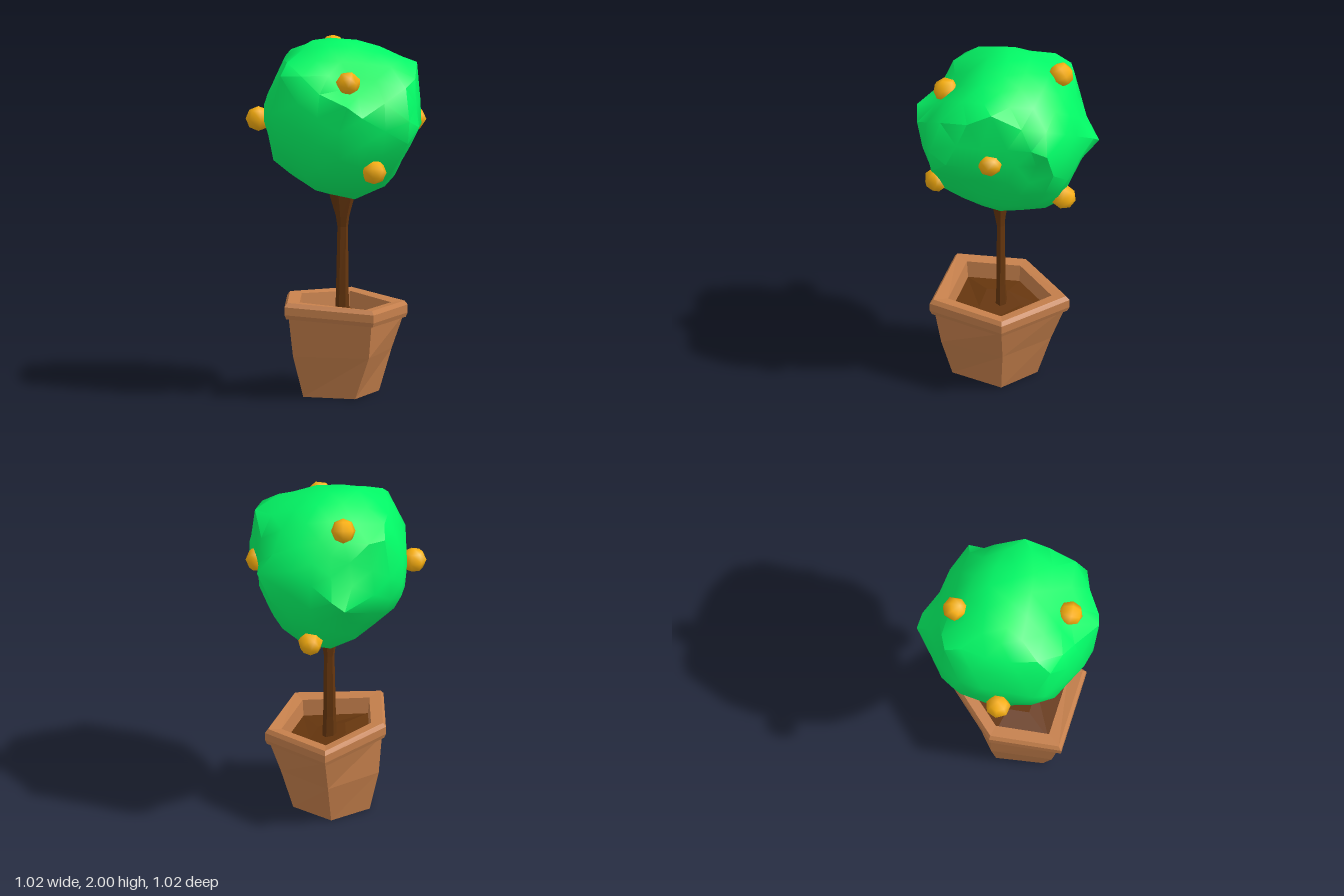
import * as THREE from 'three';
import { mergeVertices, toCreasedNormals } from 'three/addons/utils/BufferGeometryUtils.js';

const clay = new THREE.MeshStandardMaterial({ color: 0xc6804c, flatShading: true });
const bark = new THREE.MeshStandardMaterial({ color: 0x66360e, flatShading: true });
const leaf = new THREE.MeshStandardMaterial({ color: 0x02fa66 });
const peel = new THREE.MeshStandardMaterial({ color: 0xfab010 });

// Skins a stack of rings; each ring is a list of [x, y, z], counter-clockwise from above
function loft(rings, capBottom, capTop) {
  const pos = [];
  const n = rings[0].length;
  const tri = (a, b, c) => pos.push(...a, ...b, ...c);
  for (let k = 0; k < rings.length - 1; k++) {
    for (let i = 0; i < n; i++) {
      const j = (i + 1) % n, lo = rings[k], hi = rings[k + 1];
      tri(lo[i], lo[j], hi[j]);
      tri(lo[i], hi[j], hi[i]);
    }
  }
  const last = rings[rings.length - 1];
  for (let i = 1; i < n - 1; i++) {
    if (capBottom) tri(rings[0][0], rings[0][i + 1], rings[0][i]);
    if (capTop) tri(last[0], last[i], last[i + 1]);
  }
  const g = new THREE.BufferGeometry();
  g.setAttribute('position', new THREE.Float32BufferAttribute(pos, 3));
  g.computeVertexNormals();
  return g;
}

function add(group, name, geometry, material) {
  const mesh = new THREE.Mesh(geometry, material);
  mesh.name = name;
  group.add(mesh);
  return mesh;
}

// Uneven five-sided outlines of the pot, as [x, z]
const RIM = [[-0.275, 0.355], [0.23, 0.41], [0.40, -0.03], [0.07, -0.36], [-0.28, -0.055]];
const MID = [[-0.23, 0.295], [0.20, 0.35], [0.31, -0.02], [0.05, -0.25], [-0.24, -0.05]];
const BASE = [[-0.175, 0.235], [0.12, 0.30], [0.24, 0], [0.03, -0.17], [-0.19, -0.03]];

// Rim ring scaled about the pot's axis, tilted down towards +x
const rimRing = (s, y) => RIM.map(([x, z]) =>
  [0.04 + (x - 0.04) * s, y - 0.065 * (x - 0.04), 0.04 + (z - 0.04) * s]);
const flatRing = (pts, y) => pts.map(([x, z]) => [x, y, z]);

// Peaks of the foliage, each taking a vertex of its own
const PEAKS = [
  [-0.04, 1.50, -0.51], [0.45, 1.64, -0.30], [0.455, 1.88, 0.02], [0.085, 1.70, 0.51],
  [0.43, 1.60, 0.38], [-0.30, 1.84, 0.30], [-0.36, 1.62, 0.28], [-0.27, 1.85, -0.31],
  [0.14, 1.19, -0.32], [-0.13, 2.0, 0.02],
];
// Points the surface passes between the peaks: sides, upright outlines, fruit seats
const SIDES = [
  [-0.36, 1.55, -0.25], [-0.41, 1.58, 0.02], [0.40, 1.58, -0.16], [0.43, 1.56, 0.0],
  [0.475, 1.64, 0.18], [0.30, 1.56, 0.43], [-0.15, 1.58, 0.42], [0.2, 1.6, -0.41],
  [-0.39, 1.42, 0], [-0.33, 1.29, 0], [-0.19, 1.21, 0], [0.12, 1.11, 0.03],
  [0.33, 1.22, 0.05], [0.39, 1.38, 0], [0.3, 1.92, 0], [0.13, 1.99, -0.04],
  [-0.25, 1.94, 0.06], [-0.34, 1.80, 0], [0.05, 1.37, 0.455], [0.05, 1.27, 0.42],
  [0.05, 1.17, 0.29], [0.03, 1.13, -0.22], [0.04, 1.38, -0.42], [0, 1.66, -0.41],
  [0.04, 1.77, -0.37], [-0.03, 1.87, -0.29], [0.04, 1.97, -0.19], [0.04, 1.95, 0.16],
  [0.04, 1.87, 0.26], [0.08, 1.78, 0.34], [0.22, 1.32, 0.37], [-0.08, 1.985, -0.13],
  [0.28, 1.32, -0.32], [-0.06, 1.32, -0.33], [-0.26, 1.60, 0.37], [-0.26, 1.62, -0.36],
  [0.42, 1.76, 0.32], [0, 1.145, 0.02],
];
const CENTRE = new THREE.Vector3(0.035, 1.55, 0);

function foliageGeometry() {
  let g = new THREE.IcosahedronGeometry(1, 3);
  g.deleteAttribute('uv');
  g.deleteAttribute('normal');
  g = mergeVertices(g, 1e-3);
  const marks = [...PEAKS, ...SIDES].map((b) => {
    const d = new THREE.Vector3(...b).sub(CENTRE);
    const r = d.length();
    return { r, d: d.normalize() };
  });
  const p = g.attributes.position;
  const dirs = Array.from({ length: p.count }, (_, i) => new THREE.Vector3().fromBufferAttribute(p, i).normalize());
  dirs.forEach((d, i) => {
    // Blend the nearby radii with a round base, then roughen
    let sum = 0.435 * 25, weight = 25;
    for (const m of marks) {
      const a = d.angleTo(m.d);
      const w = 1 / (a * a + 0.012) ** 2;
      sum += m.r * w;
      weight += w;
    }
    const rough = Math.sin(d.x * 17 + d.y * 5) * Math.sin(d.y * 15 + d.z * 9 + 1) * Math.cos(d.z * 13 - d.x * 4);
    const v = d.clone().multiplyScalar(sum / weight + 0.02 * rough).add(CENTRE);
    p.setXYZ(i, v.x, Math.min(2, v.y), v.z);
  });
  // Pull the nearest vertex onto each peak
  PEAKS.forEach((peak, k) => {
    const angles = dirs.map((d) => d.angleTo(marks[k].d));
    p.setXYZ(angles.indexOf(Math.min(...angles)), ...peak);
  });
  return toCreasedNormals(g, 0.75);
}

export function createModel() {
  const model = new THREE.Group();
  model.name = 'pottedFruitTree';

  // Tapered pot with a chamfered rim and a hollow top
  add(model, 'pot', loft([
    flatRing(BASE, 0), flatRing(MID, 0.24), rimRing(0.93, 0.45), rimRing(0.97, 0.44),
    rimRing(1, 0.465), rimRing(1, 0.51), rimRing(0.95, 0.533), rimRing(0.74, 0.525), rimRing(0.71, 0.41),
  ], true, false), clay);

  // Soil, slightly mounded around the trunk
  add(model, 'soil', loft([rimRing(0.73, 0.43), rimRing(0.3, 0.44)], false, true), bark);

  // Six-sided trunk flaring into the foliage: [y, x, z, radius x, radius z]
  const trunk = [
    [0.41, 0.035, 0.035, 0.042, 0.035], [0.56, 0.035, 0.038, 0.036, 0.027], [0.94, 0.037, 0.038, 0.03, 0.025],
    [1.0, 0.037, 0.042, 0.038, 0.034], [1.16, 0.035, 0.045, 0.085, 0.065], [1.28, 0.035, 0.045, 0.11, 0.09],
  ].map(([y, x, z, rx, rz], k) => Array.from({ length: 6 }, (_, i) => {
    const t = i * Math.PI / 3 + k * 0.07;
    return [x + rx * Math.cos(t), y, z - rz * Math.sin(t)];
  }));
  add(model, 'trunk', loft(trunk, true, true), bark);

  add(model, 'foliage', foliageGeometry(), leaf);

  // Fruits scattered over the foliage
  const fruits = new THREE.Group();
  fruits.name = 'fruits';
  const shape = new THREE.SphereGeometry(0.071, 7, 4);
  [
    [-0.439, 1.55, 0.025], [0.437, 1.56, 0.03], [0.085, 1.81, 0.345],
    [0.23, 1.31, 0.37], [-0.035, 1.905, -0.295], [0.15, 1.22, -0.34],
  ].forEach((at, i) => {
    const fruit = add(fruits, 'fruit', shape, peel);
    fruit.position.set(...at);
    fruit.rotation.set(i * 0.9, i * 1.3, 0);
  });
  model.add(fruits);
  return model;
}
